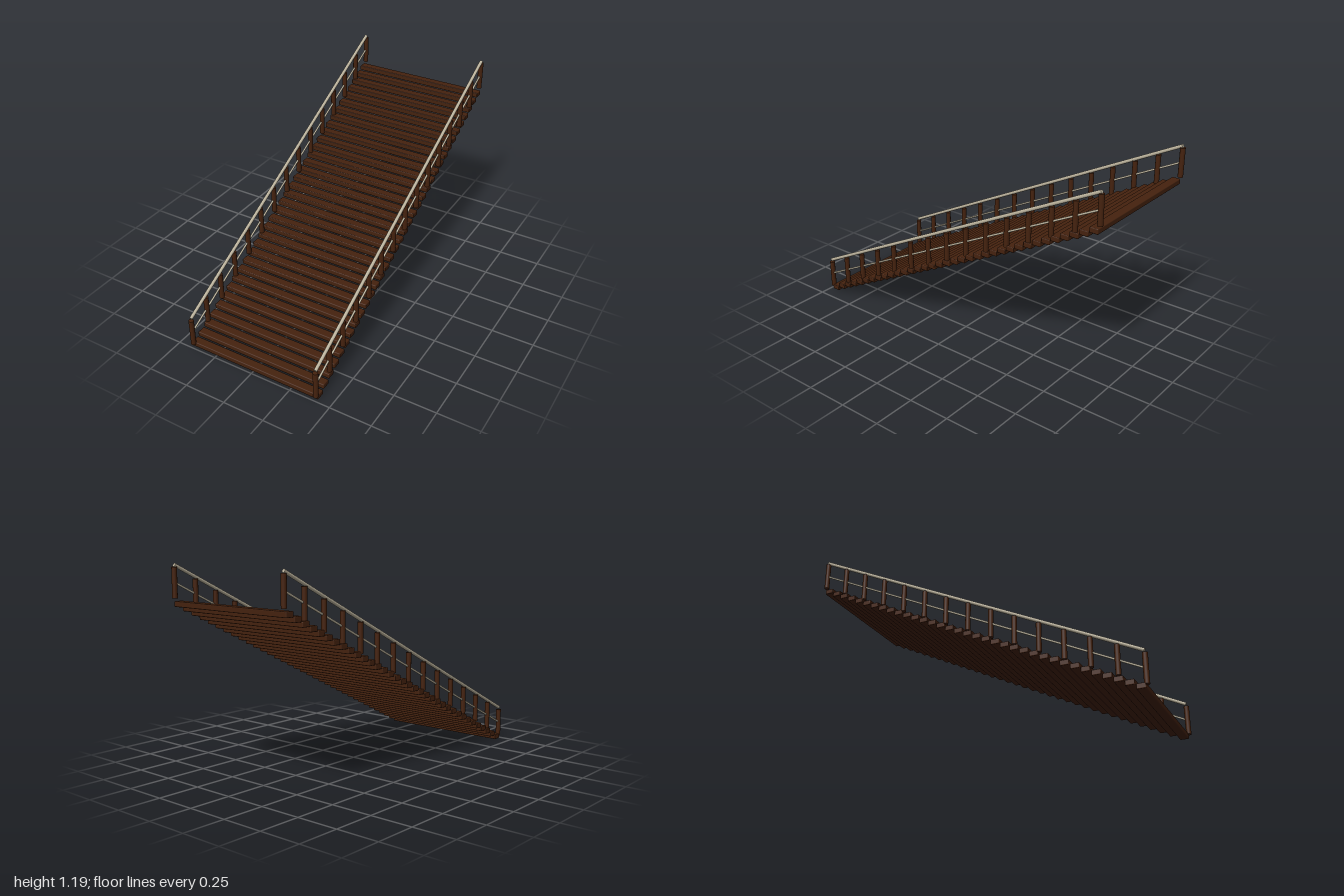
import * as THREE from 'three';
import { RoundedBoxGeometry } from 'three/addons/geometries/RoundedBoxGeometry.js';

const TREADS = 35;
const POSTS = 15;
const SIDE_X = 0.408;

export function createModel() {
  const wood = new THREE.MeshStandardMaterial({ name: 'dark wood', color: 0x45220e });
  const metal = new THREE.MeshStandardMaterial({ name: 'pale rail', color: 0xb9b09a });
  const group = new THREE.Group();
  group.name = 'staircase';

  const add = (parent, geometry, material, name, x, y, z) => {
    const mesh = new THREE.Mesh(geometry, material);
    mesh.name = name;
    mesh.position.set(x, y, z);
    parent.add(mesh);
    return mesh;
  };

  // Open treads, rising towards the back
  const treads = new THREE.Group();
  treads.name = 'treads';
  group.add(treads);
  const treadGeo = new RoundedBoxGeometry(0.84, 0.031, 0.051, 2, 0.005);
  for (let i = 0; i < TREADS; i++) {
    const t = i / (TREADS - 1);
    add(treads, treadGeo, wood, 'tread', 0, 0.0155 + 0.959 * t, 0.957 - 1.914 * t);
  }

  // Round bar along the slope between two heights at the front and back ends
  const addRail = (parent, name, x, y0, y1, radius) => {
    const rise = y1 - y0;
    const run = 1.97;
    const geo = new THREE.CylinderGeometry(radius, radius, Math.hypot(rise, run), 16);
    const rail = add(parent, geo, metal, name, x, (y0 + y1) / 2, 0);
    rail.rotation.x = -Math.atan2(run, rise);
  };

  // Balustrades on both sides
  const postGeo = new THREE.CylinderGeometry(0.015, 0.015, 0.168, 16);
  for (const side of [-1, 1]) {
    const balustrade = new THREE.Group();
    balustrade.name = side > 0 ? 'leftBalustrade' : 'rightBalustrade';
    group.add(balustrade);
    for (let i = 0; i < POSTS; i++) {
      const t = i / (POSTS - 1);
      add(balustrade, postGeo, wood, 'post', side * SIDE_X, 0.106 + 0.983 * t, 0.985 - 1.97 * t);
    }
    addRail(balustrade, 'handrail', side * SIDE_X, 0.204, 1.184, 0.01);
    addRail(balustrade, 'middleRail', side * SIDE_X, 0.107, 1.09, 0.006);
  }
  return group;
}
